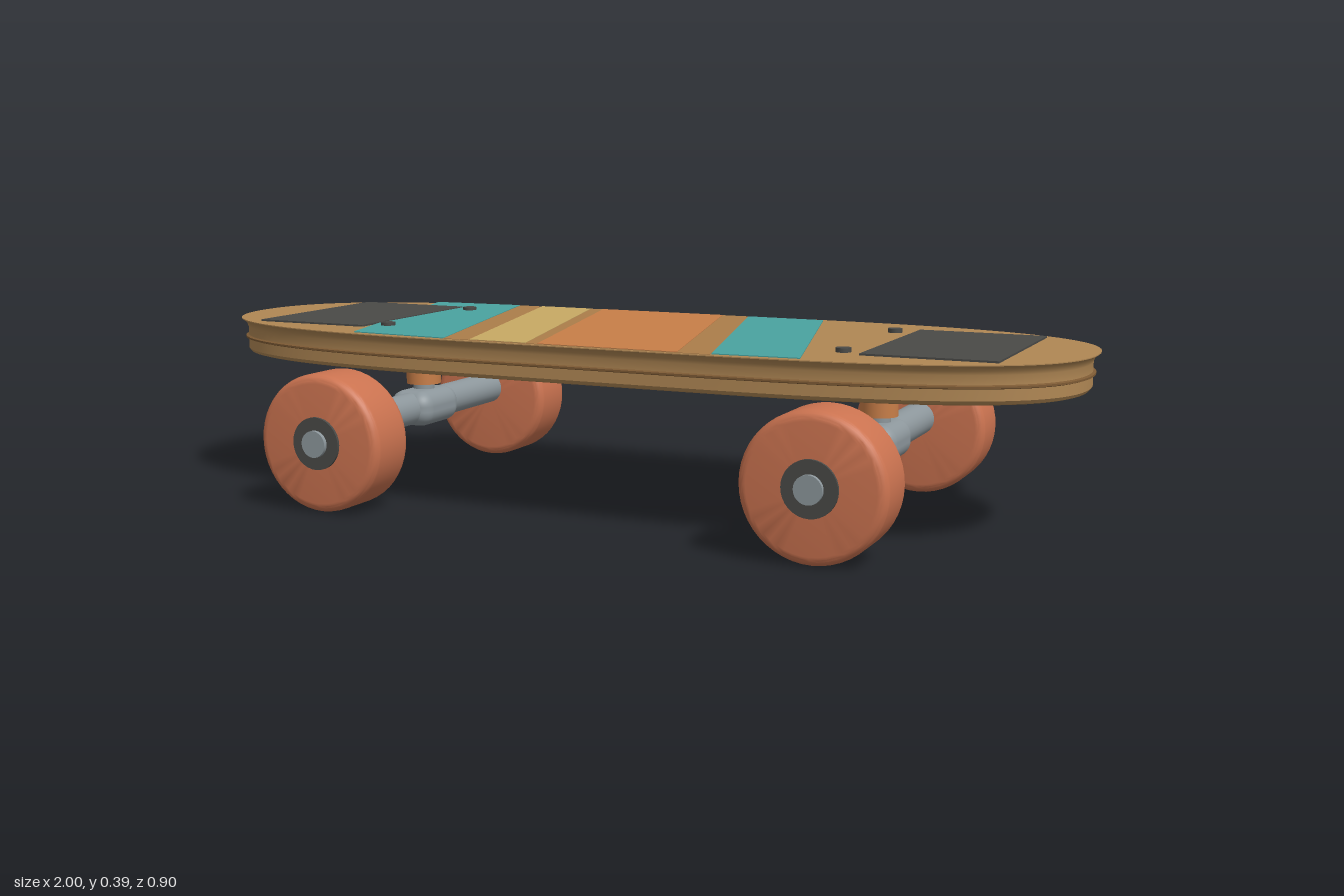
import * as THREE from 'three';
import { toCreasedNormals } from 'three/addons/utils/BufferGeometryUtils.js';
import { RoundedBoxGeometry } from 'three/addons/geometries/RoundedBoxGeometry.js';

const mat = (name, color) => {
  const m = new THREE.MeshStandardMaterial({ color });
  m.name = name;
  return m;
};

export function createModel() {
  const wood = mat('wood', 0xb08754);
  const darkWood = mat('darkWood', 0x7d5a34);
  const bandBrown = mat('bandBrown', 0xac7d4a);
  const teal = mat('teal', 0x4aa3a0);
  const sand = mat('sand', 0xc8a964);
  const orange = mat('orange', 0xc87e48);
  const charcoal = mat('charcoal', 0x4a4a47);
  const metal = mat('metal', 0x8d979c);
  const wheelRed = mat('wheelRed', 0xcb7350);

  const model = new THREE.Group();
  const add = (parent, name, geo, material, x = 0, y = 0, z = 0) => {
    const mesh = new THREE.Mesh(geo, material);
    mesh.name = name;
    mesh.position.set(x, y, z);
    parent.add(mesh);
    return mesh;
  };

  // Deck outline: straight sides, long rounded ends
  const outline = new THREE.Shape();
  outline.moveTo(0.32, -0.342);
  outline.bezierCurveTo(0.75, -0.335, 1, -0.25, 1, 0);
  outline.bezierCurveTo(1, 0.25, 0.75, 0.335, 0.32, 0.342);
  outline.lineTo(-0.32, 0.342);
  outline.bezierCurveTo(-0.75, 0.335, -1, 0.25, -1, 0);
  outline.bezierCurveTo(-1, -0.25, -0.75, -0.335, -0.32, -0.342);
  outline.closePath();
  const rim = outline.getPoints(24);
  if (rim[0].distanceTo(rim[rim.length - 1]) < 1e-6) rim.pop();
  const n = rim.length;

  // The outline moved inward by a distance
  const inset = (d) => rim.map((p, i) => {
    const t = rim[(i + 1) % n].clone().sub(rim[(i + n - 1) % n]).normalize();
    return new THREE.Vector2(p.x - t.y * d, p.y + t.x * d);
  });

  // Wall joining inset outlines, given as [inset, height] from bottom to top
  const wall = (profile) => {
    const pos = [], index = [];
    profile.forEach(([d, y]) => inset(d).forEach((p) => pos.push(p.x, y, -p.y)));
    for (let r = 0; r < profile.length - 1; r++) {
      for (let i = 0; i < n; i++) {
        const a = r * n + i, b = r * n + (i + 1) % n;
        index.push(a, b, b + n, a, b + n, a + n);
      }
    }
    const geo = new THREE.BufferGeometry();
    geo.setAttribute('position', new THREE.Float32BufferAttribute(pos, 3));
    geo.setIndex(index);
    return toCreasedNormals(geo, 0.6);
  };

  const deck = new THREE.Group();
  deck.name = 'deck';
  model.add(deck);
  add(deck, 'lowerDeckSide', wall([[0.03, 0.298], [0.02, 0.301], [0.015, 0.308], [0.015, 0.331]]), wood);
  add(deck, 'edgeBead', wall([[0.015, 0.331], [0.009, 0.333], [0.009, 0.337], [0.015, 0.339]]), darkWood);
  add(deck, 'upperDeckSide', wall([[0.015, 0.339], [0.015, 0.358], [0.012, 0.366], [0.006, 0.373], [0, 0.377], [0, 0.379]]), wood);
  add(deck, 'deckTop', new THREE.ShapeGeometry(new THREE.Shape(rim)).rotateX(-Math.PI / 2), wood, 0, 0.379);
  const under = inset(0.03).map((p) => new THREE.Vector2(p.x, -p.y)).reverse();
  add(deck, 'deckBottom', new THREE.ShapeGeometry(new THREE.Shape(under)).rotateX(Math.PI / 2), wood, 0, 0.298);

  // Slanted painted stripes: back-left, back-right, front-right, front-left as [x, z]
  const stripe = (name, corners, material, thickness) => {
    const shape = new THREE.Shape(corners.map(([x, z]) => new THREE.Vector2(x, -z)));
    const geo = new THREE.ExtrudeGeometry(shape, { depth: thickness, bevelEnabled: false });
    add(deck, name, geo.rotateX(-Math.PI / 2), material, 0, 0.3785);
  };
  stripe('stripeBacking', [[-0.475, -0.33], [0.14, -0.334], [0.31, 0.334], [-0.3, 0.33]], bandBrown, 0.0015);
  stripe('tealStripeRight', [[-0.7, -0.31], [-0.475, -0.327], [-0.3, 0.327], [-0.535, 0.312]], teal, 0.0025);
  stripe('sandStripe', [[-0.412, -0.328], [-0.278, -0.328], [-0.103, 0.328], [-0.237, 0.328]], sand, 0.0025);
  stripe('orangeStripe', [[-0.245, -0.33], [0.068, -0.33], [0.238, 0.33], [-0.075, 0.33]], orange, 0.0025);
  stripe('tealStripeLeft', [[0.135, -0.327], [0.32, -0.324], [0.49, 0.315], [0.31, 0.325]], teal, 0.0025);

  // Dark plate under the middle of the deck
  add(deck, 'undersidePlate', new THREE.BoxGeometry(0.24, 0.006, 0.085), charcoal, 0, 0.296);

  // Wheel profile with rounded shoulders, turned to lie along z
  const R = 0.15, W = 0.065, c = 0.02;
  const profile = [new THREE.Vector2(0, -W)];
  for (const [cy, start] of [[-W + c, -Math.PI / 2], [W - c, 0]]) {
    for (let i = 0; i <= 6; i++) {
      const a = start + (i / 6) * Math.PI / 2;
      profile.push(new THREE.Vector2(R - c + c * Math.cos(a), cy + c * Math.sin(a)));
    }
  }
  profile.push(new THREE.Vector2(0, W));
  const wheelGeo = toCreasedNormals(new THREE.LatheGeometry(profile, 48), 0.5).rotateX(Math.PI / 2);
  const disc = (r, h, seg = 32) => new THREE.CylinderGeometry(r, r, h, seg);
  const along = (r, h) => disc(r, h).rotateX(Math.PI / 2);

  for (const s of [-1, 1]) {
    // Grip pad and bolts on top of the deck
    add(deck, 'gripPad', new THREE.BoxGeometry(0.275, 0.006, 0.438), charcoal, s * 0.715, 0.38, -0.001);
    for (const z of [-0.18, 0.18]) add(deck, 'bolt', disc(0.016, 0.012, 16), charcoal, s * 0.533, 0.382, z);

    // Truck: base plate, bushing, hanger and axle
    const truck = new THREE.Group();
    truck.name = 'truck';
    truck.position.x = s * 0.555;
    model.add(truck);
    add(truck, 'riser', new THREE.BoxGeometry(0.09, 0.012, 0.085), charcoal, 0, 0.295);
    add(truck, 'basePlate', new RoundedBoxGeometry(0.222, 0.023, 0.224, 3, 0.01), metal, 0, 0.281);
    add(truck, 'bushing', disc(0.04, 0.046), orange, 0, 0.248);
    add(truck, 'kingpin', disc(0.025, 0.06), metal, 0, 0.21);
    add(truck, 'hangerBody', new RoundedBoxGeometry(0.11, 0.082, 0.162, 5, 0.035), metal, 0, 0.172);
    add(truck, 'axle', along(0.037, 0.62), metal, 0, 0.172);

    // Wheels with dark hubs and axle nuts
    for (const side of [-1, 1]) {
      add(truck, 'wheel', wheelGeo, wheelRed, 0, 0.15, side * 0.368);
      add(truck, 'hub', along(0.057, 0.04), charcoal, 0, 0.152, side * 0.419);
      add(truck, 'axleNut', along(0.029, 0.04), metal, 0, 0.152, side * 0.428);
    }
  }
  return model;
}
